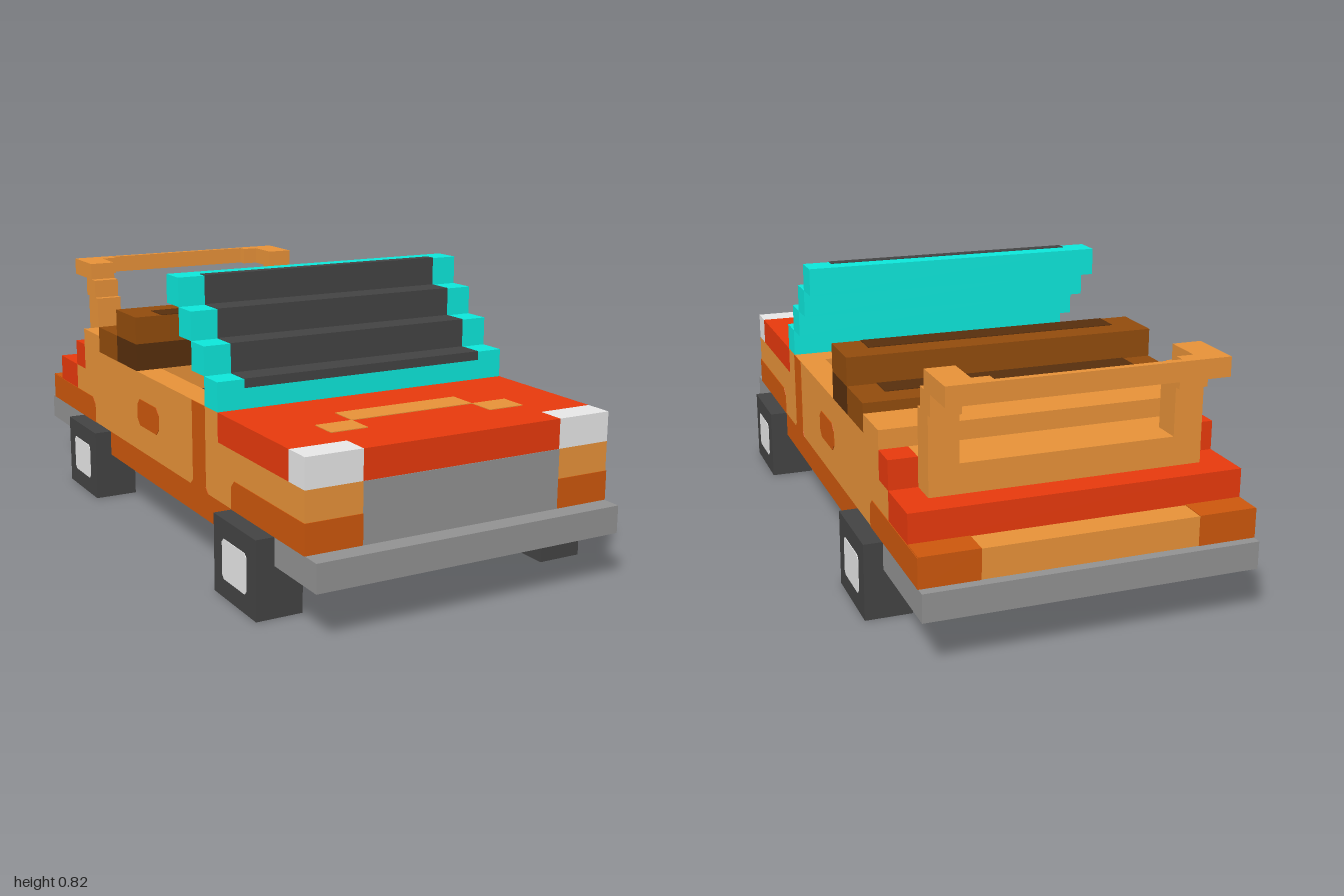
import * as THREE from 'three';

const paint = (name, color) => {
  const m = new THREE.MeshStandardMaterial({ color });
  m.name = name;
  return m;
};

export function createModel() {
  const orange = paint('orange', 0xe69138);
  const rust = paint('dark orange', 0xcc570c);
  const red = paint('red', 0xe6390c);
  const teal = paint('teal', 0x0ce6da);
  const grey = paint('grey', 0x919191);
  const dark = paint('charcoal', 0x434343);
  const light = paint('light grey', 0xe6e6e6);
  const brown = paint('brown', 0x914b0c);
  const umber = paint('dark brown', 0x572e0c);

  const car = new THREE.Group();
  car.name = 'openTopCar';
  const W = 0.478, IN = 0.395, G = 0.31, T = 0.002;

  // Box given by its limits on each axis
  function box(name, mat, x0, x1, y0, y1, z0, z1) {
    const mesh = new THREE.Mesh(new THREE.BoxGeometry(x1 - x0, y1 - y0, z1 - z0), mat);
    mesh.position.set((x0 + x1) / 2, (y0 + y1) / 2, (z0 + z1) / 2);
    mesh.name = name;
    car.add(mesh);
  }
  const wide = (name, mat, hw, ...r) => box(name, mat, -hw, hw, ...r);
  // The same box on both sides of the car
  function pair(name, mat, x0, x1, ...r) {
    box(name + 'Left', mat, x0, x1, ...r);
    box(name + 'Right', mat, -x1, -x0, ...r);
  }
  // Thin plate facing sideways, centred on x. Corner cuts run low back,
  // low front, top front, top back; a negative cut flares outwards.
  function sidePlate(name, mat, x, y0, y1, z0, z1, [a, b, c, d]) {
    const s = new THREE.Shape([
      [z0 + a, y0], [z1 - b, y0], [z1, y0 + Math.abs(b)], [z1, y1 - c],
      [z1 - c, y1], [z0 + d, y1], [z0, y1 - d], [z0, y0 + Math.abs(a)],
    ].map(([z, y]) => new THREE.Vector2(-z, y)));
    const g = new THREE.ExtrudeGeometry(s, { depth: 2 * T, bevelEnabled: false });
    g.translate(0, 0, -T).rotateY(Math.PI / 2);
    const mesh = new THREE.Mesh(g, mat);
    mesh.position.x = x;
    mesh.name = name;
    car.add(mesh);
  }

  // Chassis and bumpers
  wide('chassis', orange, W - T, 0.145, 0.225, -0.61, 0.935);
  pair('sill', rust, W - T, W, 0.145, 0.225, -0.41, 0.525);
  pair('bumperSide', grey, W - T, W, 0.145, 0.225, 0.525, 0.935);
  wide('frontBumper', grey, W, 0.145, 0.225, 0.935, 1);
  wide('rearBumper', grey, W, 0.145, 0.225, -1, -0.61);

  // Body shell around an open cabin
  wide('lowerBody', orange, W, 0.225, 0.31, -0.97, 0.94);
  wide('noseBody', orange, W, 0.31, 0.395, 0.27, 0.94);
  wide('cowl', orange, W, 0.395, 0.48, 0.27, 0.44);
  pair('cabinWall', orange, IN, W, 0.31, 0.48, -0.155, 0.27);
  wide('rearBody', orange, W, 0.31, 0.48, -0.635, -0.155);
  wide('rearShelf', orange, W, 0.48, 0.535, -0.635, -0.487);

  // Hood, lamps and grille
  wide('hood', red, W, 0.395, 0.48, 0.44, 0.857);
  wide('hoodNose', red, G, 0.395, 0.48, 0.857, 0.94);
  pair('headlight', light, G, W, 0.395, 0.48, 0.857, 0.94);
  wide('grille', grey, G, 0.225, 0.395, 0.94, 0.942);
  wide('hoodMark', orange, 0.197, 0.48, 0.482, 0.6, 0.69);
  pair('hoodMarkTip', orange, 0.197, G, 0.48, 0.482, 0.69, 0.775);

  // Stepped trunk
  wide('trunkDeck', orange, IN, 0.31, 0.48, -0.72, -0.635);
  pair('trunkShoulder', red, IN, W, 0.395, 0.48, -0.72, -0.635);
  pair('trunkSide', orange, IN, W, 0.31, 0.395, -0.72, -0.635);
  wide('trunkStep', red, W, 0.31, 0.395, -0.887, -0.72);
  wide('trunkPanel', orange, G, 0.395, 0.48, -0.805, -0.72);

  // Painted panels on the corners and doors
  pair('frontCorner', rust, G, W, 0.225, 0.31, 0.94, 0.942);
  pair('rearCorner', rust, G, W, 0.225, 0.31, -0.972, -0.97);
  pair('rearCornerTop', rust, G, W, 0.31, 0.312, -0.972, -0.887);
  for (const s of [1, -1]) {
    sidePlate('frontPanel', rust, s * W, 0.225, 0.31, 0.525, 0.942, [0, 0, 0, 0.02]);
    sidePlate('rearPanel', rust, s * W, 0.225, 0.31, -0.972, -0.545, [0, 0, 0.02, 0]);
    sidePlate('doorStripe', rust, s * W, 0.225, 0.48, 0.27, 0.356, [-0.018, -0.018, 0, 0]);
    sidePlate('doorHandle', rust, s * W, 0.31, 0.395, -0.153, 0.018, [0.02, 0.02, 0.02, 0.02]);
  }

  // Seats
  pair('frontSeat', dark, 0.11, IN, 0.31, 0.4, -0.155, -0.075);
  wide('seatConsole', dark, 0.11, 0.31, 0.37, -0.155, -0.075);
  wide('seatBackBase', umber, W, 0.48, 0.565, -0.32, -0.155);
  wide('seatBack', brown, W, 0.565, 0.65, -0.32, -0.155);
  wide('foldedTop', brown, W, 0.48, 0.565, -0.487, -0.32);
  wide('seatBackInset', umber, 0.39, 0.65, 0.652, -0.24, -0.155);
  wide('foldedTopInset', umber, 0.39, 0.565, 0.567, -0.405, -0.32);

  // Windshield in four leaning steps, with glass on the fronts and treads
  for (let i = 0; i < 4; i++) {
    const y = 0.48 + i * 0.085, z = 0.44 - i * 0.085;
    wide('windshieldFrame', teal, W, y, y + 0.085, z - 0.085, z);
    wide('windshieldGlass', dark, IN, i ? y : 0.54, y + 0.085, z, z + T);
    wide('windshieldTread', dark, IN, y + 0.085, y + 0.087, i < 3 ? z - 0.085 : 0.155, z + T);
  }

  // Roll bar
  pair('rollBarPost', orange, G, IN, 0.395, 0.62, -0.805, -0.72);
  pair('rollBarBend', orange, G, IN, 0.62, 0.68, -0.825, -0.742);
  pair('rollBarArm', orange, G, IN, 0.68, 0.735, -0.94, -0.775);
  pair('rollBarCorner', orange, 0.26, G, 0.68, 0.735, -0.94, -0.89);
  wide('rollBarCross', orange, 0.26, 0.68, 0.735, -0.94, -0.92);

  // Square wheels with hubs on both faces, and axle plates
  for (const z of [0.652, -0.533]) {
    pair('wheel', dark, IN, 0.533, 0, 0.225, z - 0.127, z + 0.127);
    wide('axlePlate', light, IN, 0.143, 0.146, z - 0.077, z + 0.077);
    for (const x of [0.533, IN, -IN, -0.533]) {
      sidePlate('hub', light, x, 0.055, 0.17, z - 0.073, z + 0.073, [0.01, 0.01, 0.01, 0.01]);
    }
  }
  return car;
}
